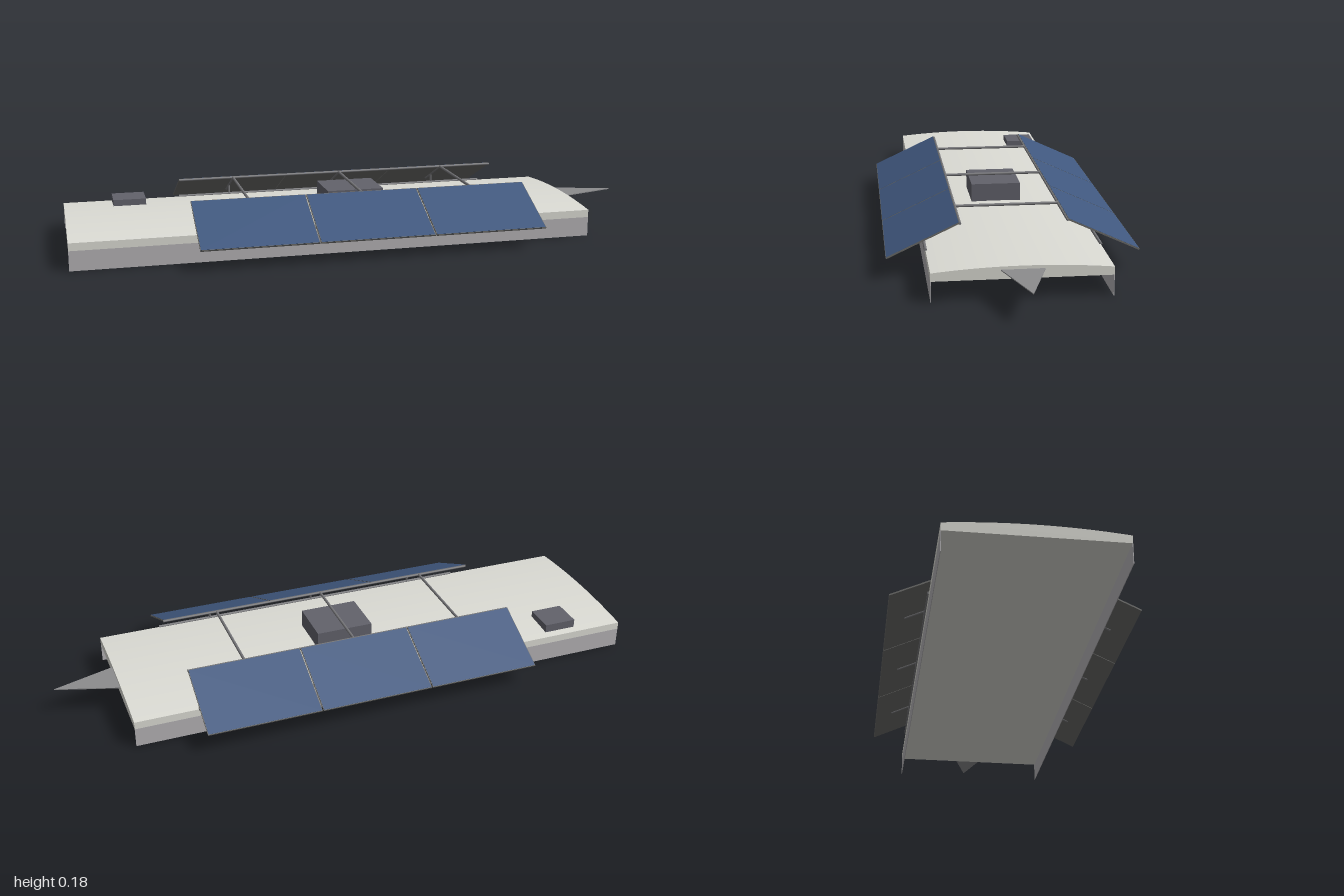
import * as THREE from 'three';
import { toCreasedNormals } from 'three/addons/utils/BufferGeometryUtils.js';

const mat = (color, side = THREE.FrontSide) => new THREE.MeshStandardMaterial({ color, side });

export function createModel() {
  const model = new THREE.Group();
  const roofMat = mat(0xdcdcd5), wallMat = mat(0xb4b2b5, THREE.DoubleSide);
  const metal = mat(0x77777a), unitMat = mat(0x62626b);
  const panelMat = mat(0x40587f), frameMat = mat(0x6a6a68);

  const add = (name, geo, material, x = 0, y = 0, z = 0, parent = model) => {
    const mesh = new THREE.Mesh(geo, material);
    mesh.name = name;
    mesh.position.set(x, y, z);
    parent.add(mesh);
    return mesh;
  };

  // Round bar between two points
  const bar = (name, a, b, r, parent = model) => {
    const from = new THREE.Vector3(...a), to = new THREE.Vector3(...b);
    const dir = to.clone().sub(from);
    const mesh = add(name, new THREE.CylinderGeometry(r, r, dir.length(), 10), metal, 0, 0, 0, parent);
    mesh.position.copy(from).add(to).multiplyScalar(0.5);
    mesh.quaternion.setFromUnitVectors(new THREE.Vector3(0, 1, 0), dir.normalize());
    return mesh;
  };

  // Roof slab with a gently arched top
  const W = 0.277, x0 = -1, x1 = 0.79;
  const section = new THREE.Shape();
  section.moveTo(-W, 0.067);
  section.lineTo(W, 0.067);
  section.lineTo(W, 0.093);
  section.quadraticCurveTo(0, 0.121, -W, 0.093);
  section.closePath();
  const slab = new THREE.ExtrudeGeometry(section, { depth: x1 - x0, bevelEnabled: false, curveSegments: 24 });
  slab.rotateY(Math.PI / 2);
  add('roofSlab', toCreasedNormals(slab, 0.4), roofMat, x0);

  // Thin skirts along both long sides
  for (const s of [-1, 1]) {
    add('sideSkirt', new THREE.BoxGeometry(x1 - x0, 0.067, 0.002), wallMat, (x0 + x1) / 2, 0.0335, s * (W - 0.001));
  }

  // Pointed plate at the +x end
  const tip = new THREE.Shape([[0.79, -0.067], [1, 0], [0.79, 0.067]].map(p => new THREE.Vector2(...p)));
  const tipGeo = new THREE.ExtrudeGeometry(tip, { depth: 0.003, bevelEnabled: false });
  tipGeo.rotateX(-Math.PI / 2);
  add('pointedPlate', tipGeo, mat(0x8c8c8e), 0, 0.0935, 0);

  // Equipment boxes on the roof
  add('centralUnit', new THREE.BoxGeometry(0.2, 0.066, 0.17), unitMat, -0.007, 0.135, 0);
  add('smallUnit', new THREE.BoxGeometry(0.114, 0.029, 0.107), unitMat, -0.773, 0.1105, -0.196);

  // Cross bars joining the two panel rows
  const supports = [-0.4, -0.007, 0.385];
  for (const x of supports) bar('crossBar', [x, 0.178, -0.172], [x, 0.178, 0.172], 0.0048);

  // Sloped panel rows, one per side
  const slope = Math.atan2(0.108, 0.232), length = 0.254;
  for (const s of [-1, 1]) {
    const row = new THREE.Group();
    row.name = s > 0 ? 'frontPanelRow' : 'backPanelRow';
    if (s < 0) row.scale.z = -1;
    model.add(row);

    for (let i = 0; i < 3; i++) {
      const panel = new THREE.Group();
      panel.name = 'solarPanel';
      panel.position.set(-0.4 + i * 0.3925, 0.1265, 0.2855);
      panel.rotation.x = slope;
      row.add(panel);
      add('panelFrame', new THREE.BoxGeometry(0.389, 0.005, length), frameMat, 0, 0, 0, panel);
      add('panelCells', new THREE.BoxGeometry(0.385, 0.001, length - 0.004), panelMat, 0, 0.0027, 0, panel);
    }

    // Ridge rail and foot rail
    bar('ridgeRail', [-0.593, 0.178, 0.169], [0.58, 0.178, 0.169], 0.004, row);
    bar('footRail', [-0.585, 0.0945, 0.277], [0.575, 0.0945, 0.277], 0.005, row);

    // Struts under the panels and posts
    for (const x of supports) {
      bar('strut', [x, 0.177, 0.17], [x, 0.0965, 0.343], 0.004, row);
      bar('post', [x, 0.093, 0.277], [x, 0.127, 0.277], 0.004, row);
    }
  }
  return model;
}
